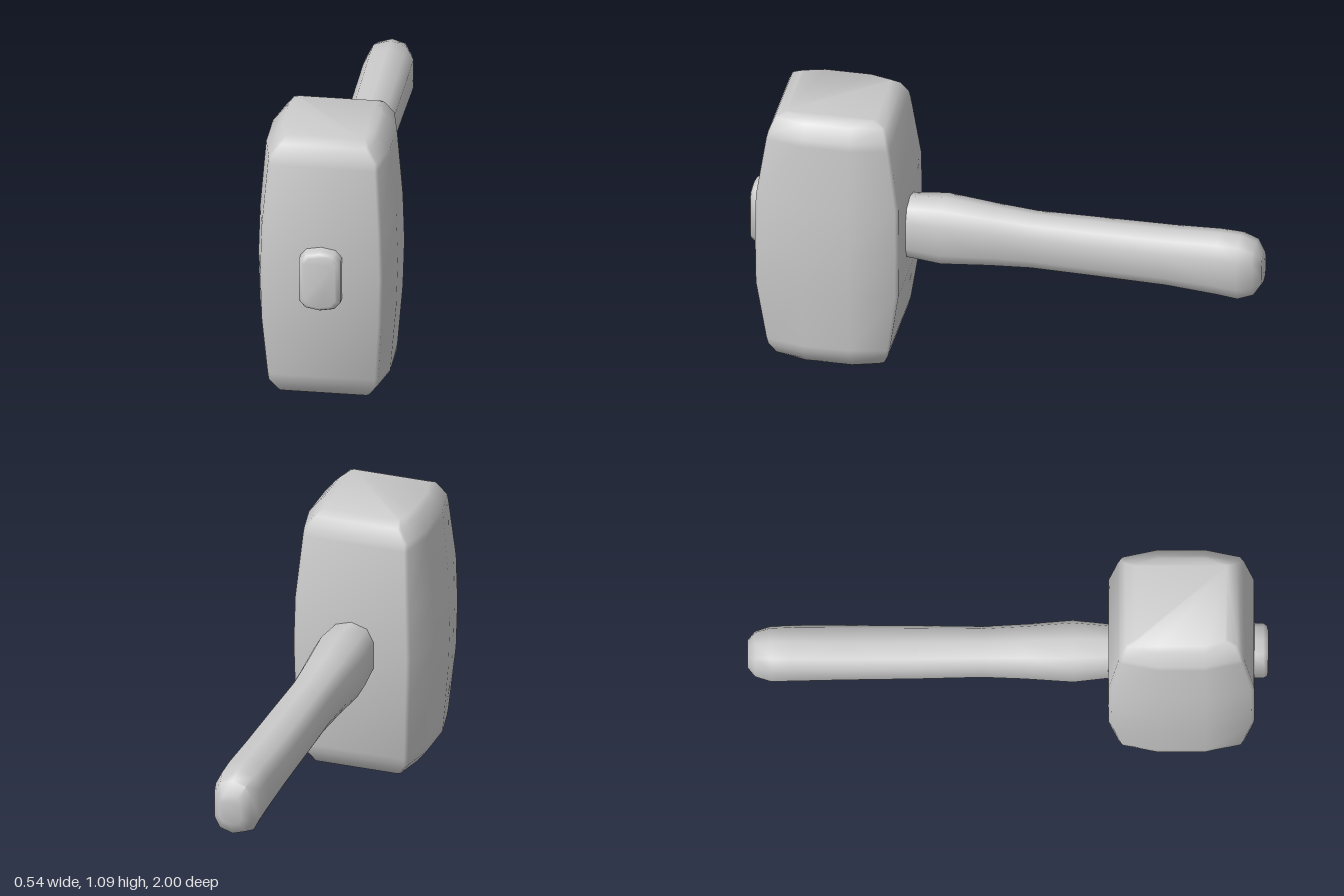
import * as THREE from 'three';
import { toCreasedNormals } from 'three/addons/utils/BufferGeometryUtils.js';

const material = new THREE.MeshStandardMaterial({ color: 0xcccccc });

// Skin a list of rings (counter-clockwise seen from the far end) and cap both ends
function loft(name, rings) {
  const n = rings[0].length, last = (rings.length - 1) * n, index = [];
  for (let r = 0; r < last; r += n) {
    for (let j = 0; j < n; j++) {
      const k = (j + 1) % n;
      index.push(r + j, r + k, r + n + k, r + j, r + n + k, r + n + j);
    }
  }
  for (let j = 1; j < n - 1; j++) {
    index.push(0, j + 1, j, last, last + j, last + j + 1);
  }
  const geometry = new THREE.BufferGeometry();
  geometry.setAttribute('position', new THREE.Float32BufferAttribute(rings.flat(2), 3));
  geometry.setIndex(index);
  const mesh = new THREE.Mesh(toCreasedNormals(geometry, 0.9), material);
  mesh.name = name;
  return mesh;
}

// Mirror one quadrant of a section into a closed outline
function mirrorQuadrant(q) {
  const back = [...q].reverse();
  return [
    ...q,
    ...back.map(([u, v]) => [-u, v]),
    ...q.map(([u, v]) => [-u, -v]),
    ...back.map(([u, v]) => [u, -v]),
  ].filter(([u, v], i, all) => {
    const [pu, pv] = all[(i + all.length - 1) % all.length];
    return Math.hypot(u - pu, v - pv) > 1e-6;
  });
}

// Head: barrel-shaped block whose sides bulge outwards
function createHead() {
  const centreY = 0.545, centreZ = 0.665;
  // height, half width, half depth
  const lower = [
    [0, 0.18, 0.175], [0.02, 0.2, 0.215], [0.07, 0.24, 0.235],
    [0.1, 0.243, 0.242], [0.35, 0.264, 0.279],
  ];
  const upper = [...lower].reverse().map(([y, w, d]) => [2 * centreY - y, w, d]);
  const rows = [...lower, [centreY, 0.27, 0.281], ...upper];
  return loft('head', rows.map(([y, w, d]) =>
    mirrorQuadrant([[d, 0.83 * w], [0.96 * d, 0.88 * w], [0.09, w]])
      .map(([z, x]) => [x, y, z + centreZ])));
}

// Oval bar along z; rows hold z, half width, bottom, top
function createBar(name, rows, shoulder, side) {
  return loft(name, rows.map(([z, w, bottom, top]) => {
    const h = (top - bottom) / 2, y = (top + bottom) / 2;
    return mirrorQuadrant([[w, side * h], [0.7 * w, shoulder * h], [0, h]])
      .map(([u, v]) => [u, y + v, z]);
  }));
}

export function createModel() {
  const model = new THREE.Group();
  model.name = 'hammer';
  model.add(createHead());

  // Grip swells near the head and at the rounded butt
  model.add(createBar('handle', [
    [-1, 0.045, 0.46, 0.585], [-0.97, 0.075, 0.41, 0.635],
    [-0.91, 0.091, 0.388, 0.655], [-0.83, 0.093, 0.4, 0.658],
    [-0.63, 0.093, 0.42, 0.65], [-0.35, 0.091, 0.427, 0.649],
    [-0.1, 0.086, 0.43, 0.65], [0.06, 0.092, 0.422, 0.664],
    [0.25, 0.104, 0.408, 0.684], [0.39, 0.09, 0.42, 0.673],
    [0.45, 0.085, 0.42, 0.673],
  ], 0.85, 0.45));

  // Handle end showing through the front of the head
  model.add(createBar('handleTip', [
    [0.9, 0.08, 0.42, 0.673], [0.98, 0.08, 0.42, 0.673],
    [0.995, 0.072, 0.428, 0.665], [1, 0.06, 0.44, 0.653],
  ], 0.92, 0.7));
  return model;
}
